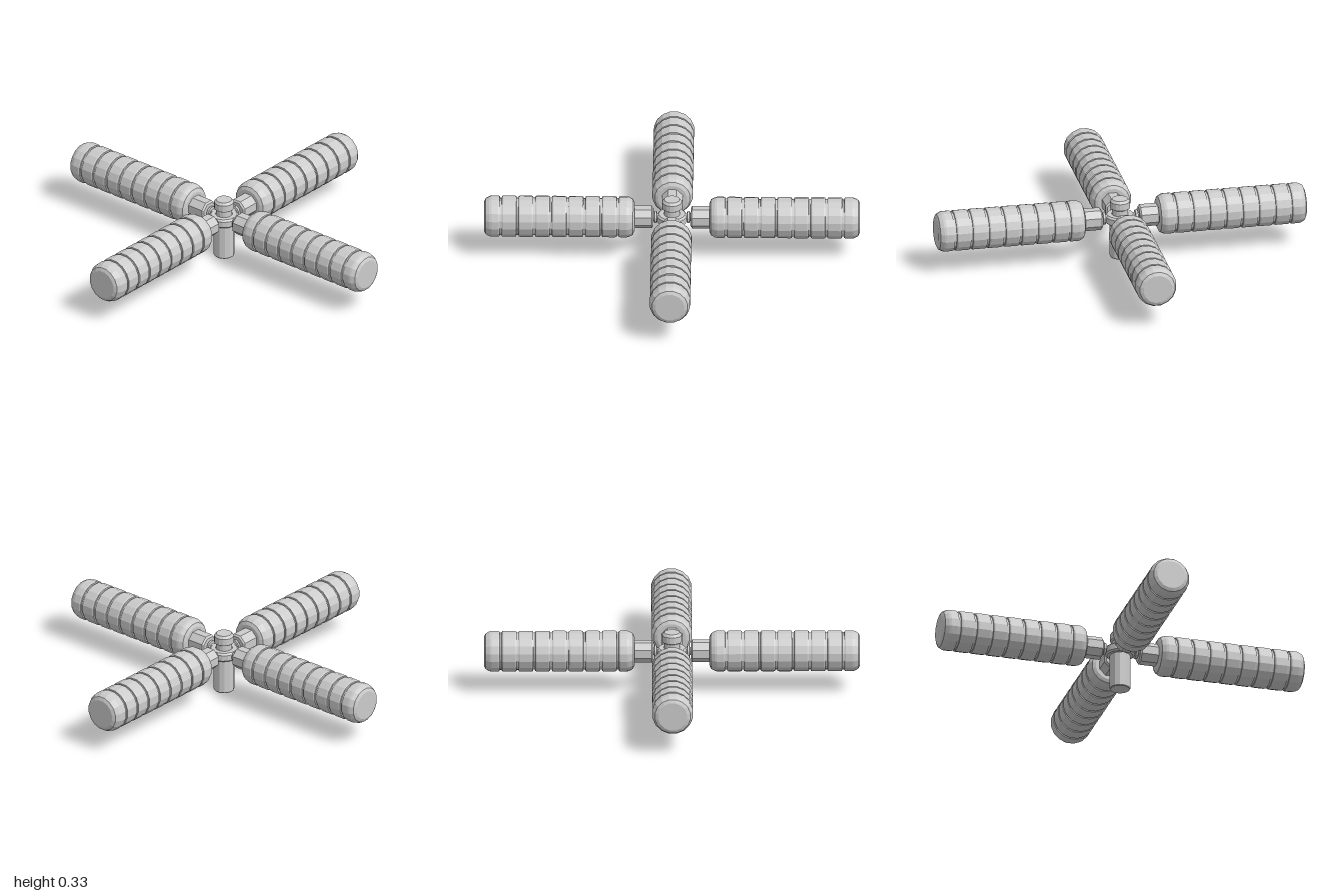
import * as THREE from 'three';

const material = new THREE.MeshStandardMaterial({ color: 0xcccccc, flatShading: true });
const AXIS_Y = 0.225;

// Lathe from [radius, height] pairs, turned so a flat side faces the axes
function lathe(name, pairs, sides) {
  const points = pairs.map(([r, h]) => new THREE.Vector2(r, h));
  const geometry = new THREE.LatheGeometry(points, sides, Math.PI / sides);
  const mesh = new THREE.Mesh(geometry, material);
  mesh.name = name;
  return mesh;
}

// Grooved grip: nine bands with bevelled edges and rounded ends
function gripProfile() {
  const bands = 9, start = 0.2, pitch = 0.8 / bands, R = 0.11, groove = 0.1;
  const profile = [[0, start], [0.078, start], [0.096, start + 0.008], [0.107, start + 0.028]];
  for (let i = 0; i < bands; i++) {
    const a = start + i * pitch, b = a + pitch;
    if (i > 0) profile.push([groove, a + 0.005], [0.107, a + 0.006], [R, a + 0.014]);
    else profile.push([R, a + 0.04]);
    if (i < bands - 1) profile.push([R, b - 0.014], [0.107, b - 0.006], [groove, b - 0.005]);
    else profile.push([R, b - 0.04]);
  }
  profile.push([0.107, 0.972], [0.096, 0.992], [0.078, 1], [0, 1]);
  return profile;
}

function createArm() {
  const arm = new THREE.Group();
  // Thin pin with a small flange where it enters the hub
  const pin = lathe('pin', [
    [0, 0.03], [0.02, 0.03], [0.02, 0.08], [0.033, 0.082], [0.033, 0.094], [0.022, 0.096], [0.022, 0.12], [0, 0.12],
  ], 12);
  // Faceted neck between pin and grip
  const neck = lathe('neck', [
    [0, 0.1], [0.05, 0.1], [0.06, 0.108], [0.06, 0.21], [0, 0.21],
  ], 8);
  arm.add(pin, neck, lathe('grip', gripProfile(), 16));
  return arm;
}

export function createModel() {
  const model = new THREE.Group();
  model.name = 'crossHandle';

  // Central stem, collar and capped top
  model.add(lathe('stem', [[0, 0], [0.052, 0], [0.055, 0.004], [0.055, 0.2], [0, 0.2]], 12));
  model.add(lathe('collar', [
    [0, 0.195], [0.07, 0.195], [0.08, 0.203], [0.08, 0.235], [0.07, 0.245], [0.045, 0.245],
  ], 16));
  model.add(lathe('cap', [
    [0.043, 0.24], [0.043, 0.275], [0.053, 0.281], [0.053, 0.318], [0.042, 0.332], [0, 0.332],
  ], 16));

  // Four identical arms in a cross
  for (let i = 0; i < 4; i++) {
    const arm = createArm();
    arm.name = ['frontArm', 'leftArm', 'backArm', 'rightArm'][i];
    arm.rotation.set(Math.PI / 2, i * Math.PI / 2, 0, 'YXZ');
    arm.position.y = AXIS_Y;
    model.add(arm);
  }
  return model;
}
